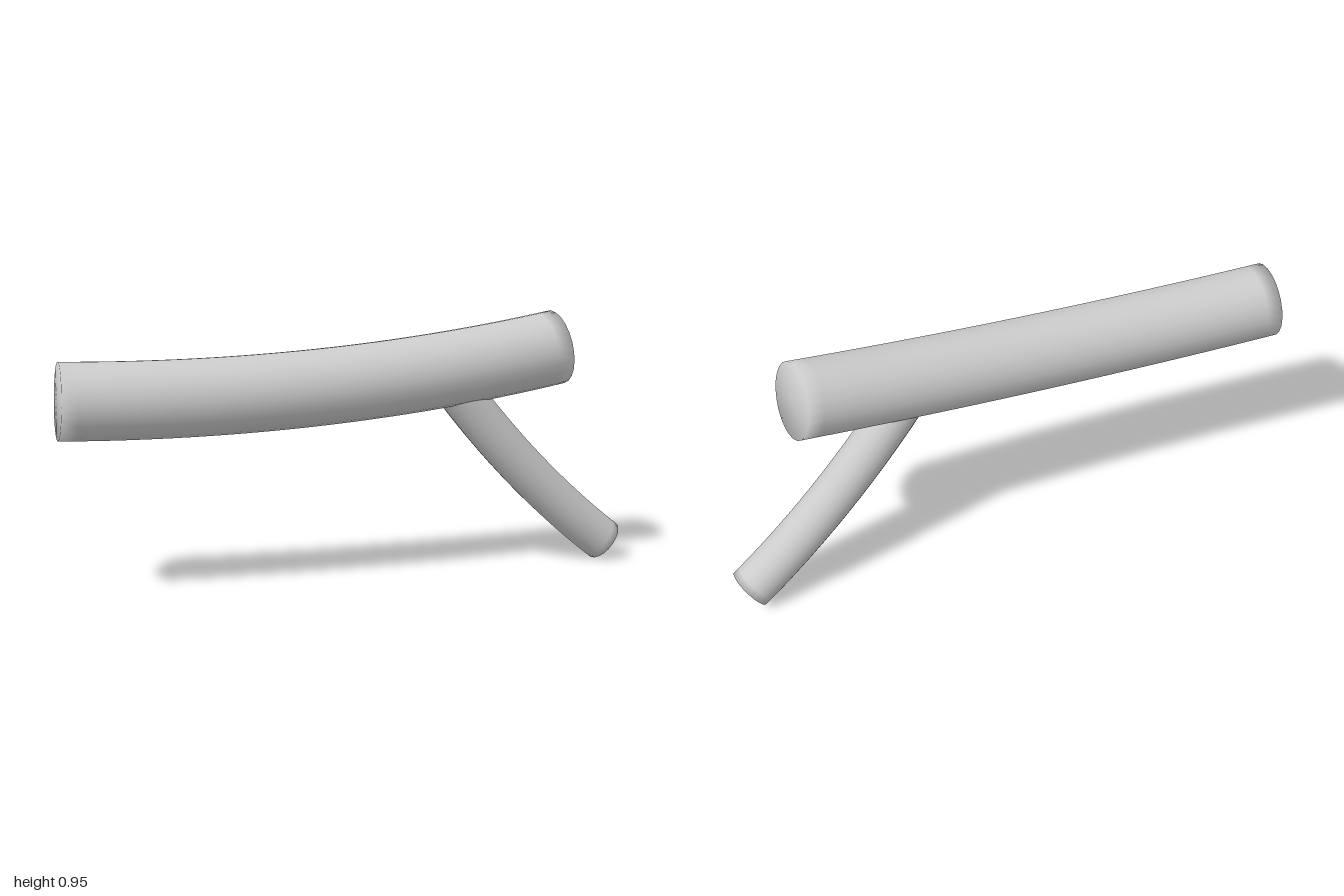
import * as THREE from 'three';
import { mergeVertices } from 'three/addons/utils/BufferGeometryUtils.js';

const material = new THREE.MeshStandardMaterial({ color: 0xcccccc });

// Closed round limb along a curve; caps share the rim so shading rolls over the ends.
function makeLimb(name, start, control, end, radius, sides) {
  const segments = 32;
  const curve = new THREE.QuadraticBezierCurve3(
    new THREE.Vector3(...start), new THREE.Vector3(...control), new THREE.Vector3(...end));
  const tube = new THREE.TubeGeometry(curve, segments, radius, sides, false);

  const positions = Array.from(tube.attributes.position.array);
  const index = Array.from(tube.index.array);
  const startCentre = positions.length / 3;
  positions.push(...start, ...end);
  const lastRing = segments * (sides + 1);
  for (let j = 0; j < sides; j++) {
    index.push(startCentre, j, j + 1);
    index.push(startCentre + 1, lastRing + j + 1, lastRing + j);
  }

  let geometry = new THREE.BufferGeometry();
  geometry.setAttribute('position', new THREE.Float32BufferAttribute(positions, 3));
  geometry.setIndex(index);
  geometry = mergeVertices(geometry, 1e-5);
  geometry.computeVertexNormals();

  const mesh = new THREE.Mesh(geometry, material);
  mesh.name = name;
  return mesh;
}

export function createModel() {
  const group = new THREE.Group();
  group.name = 'forkedBranch';

  // Thick, gently bowed main limb
  group.add(makeLimb('mainLimb',
    [-0.425, 0.71, 0.93], [0.05, 0.674, 0.122], [0.385, 0.815, -0.737], 0.137, 24));

  // Thin side limb growing from inside the main one, down and back
  group.add(makeLimb('sideLimb',
    [0.2, 0.76, -0.32], [0.315, 0.35, -0.605], [0.465, 0.062, -0.942], 0.081, 20));

  return group;
}
